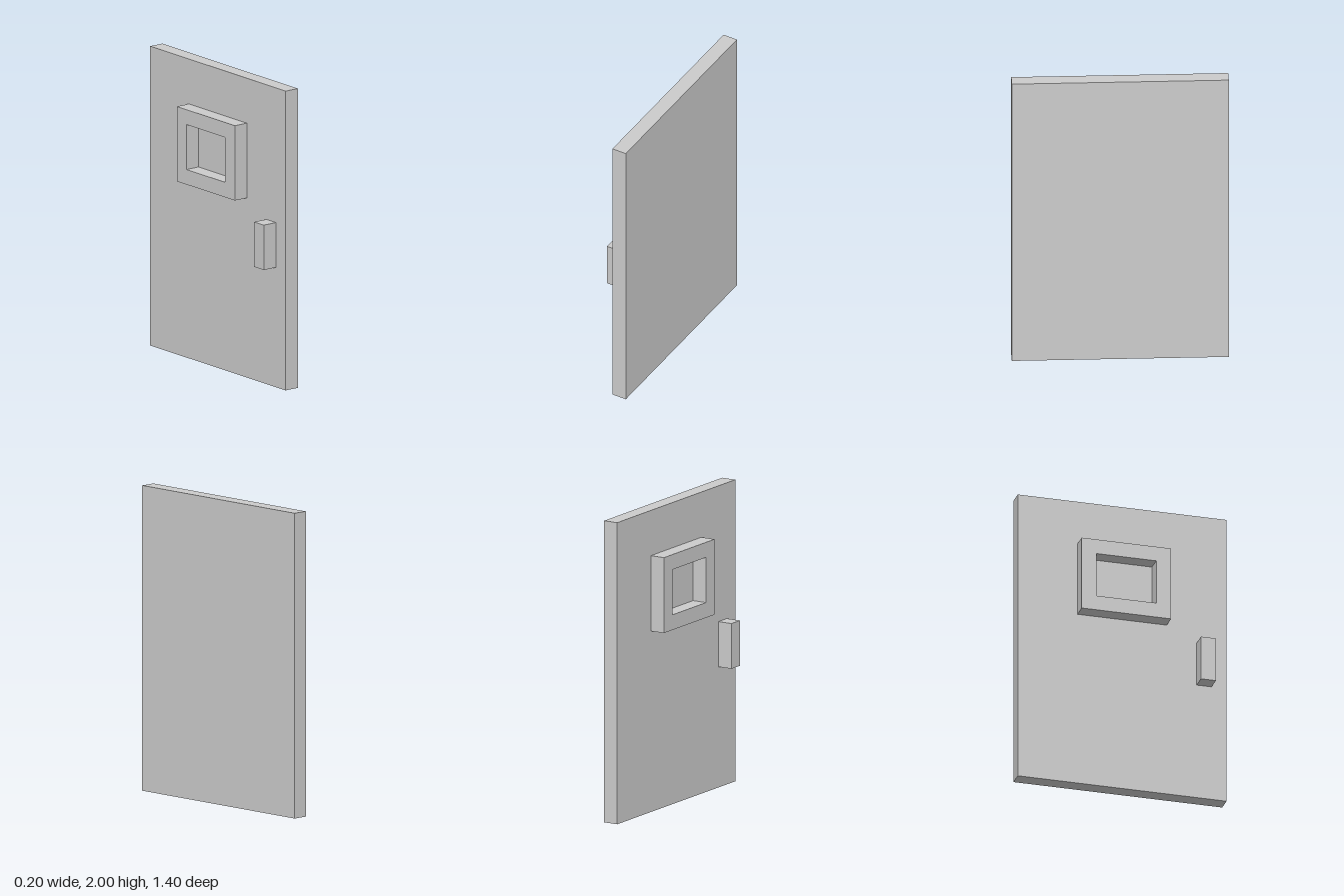
import * as THREE from 'three';

const material = new THREE.MeshStandardMaterial({ color: 0xcccccc, flatShading: true });

// Box given by its size and centre
function box(name, [w, h, d], [x, y, z]) {
  const mesh = new THREE.Mesh(new THREE.BoxGeometry(w, h, d), material);
  mesh.name = name;
  mesh.position.set(x, y, z);
  return mesh;
}

// Counter-clockwise corners of a rectangle about the origin
function rectangle(w, h) {
  return [[-1, -1], [1, -1], [1, 1], [-1, 1]].map(
    ([sx, sy]) => new THREE.Vector2((sx * w) / 2, (sy * h) / 2));
}

// Raised rectangular surround with an opening down to the door panel
function windowFrame() {
  const shape = new THREE.Shape(rectangle(0.6, 0.5));
  shape.holes.push(new THREE.Path(rectangle(0.4, 0.3).reverse()));
  const geometry = new THREE.ExtrudeGeometry(shape, { depth: 0.1, bevelEnabled: false });
  geometry.rotateY(-Math.PI / 2); // extrude towards -x
  const mesh = new THREE.Mesh(geometry, material);
  mesh.name = 'windowFrame';
  mesh.position.set(0, 1.45, 0);
  return mesh;
}

export function createModel() {
  const door = new THREE.Group();
  door.name = 'door';
  door.add(
    box('doorPanel', [0.1, 2, 1.4], [0.05, 1, 0]),
    windowFrame(),
    box('handle', [0.1, 0.3, 0.1], [-0.05, 0.95, 0.55]),
  );
  return door;
}
